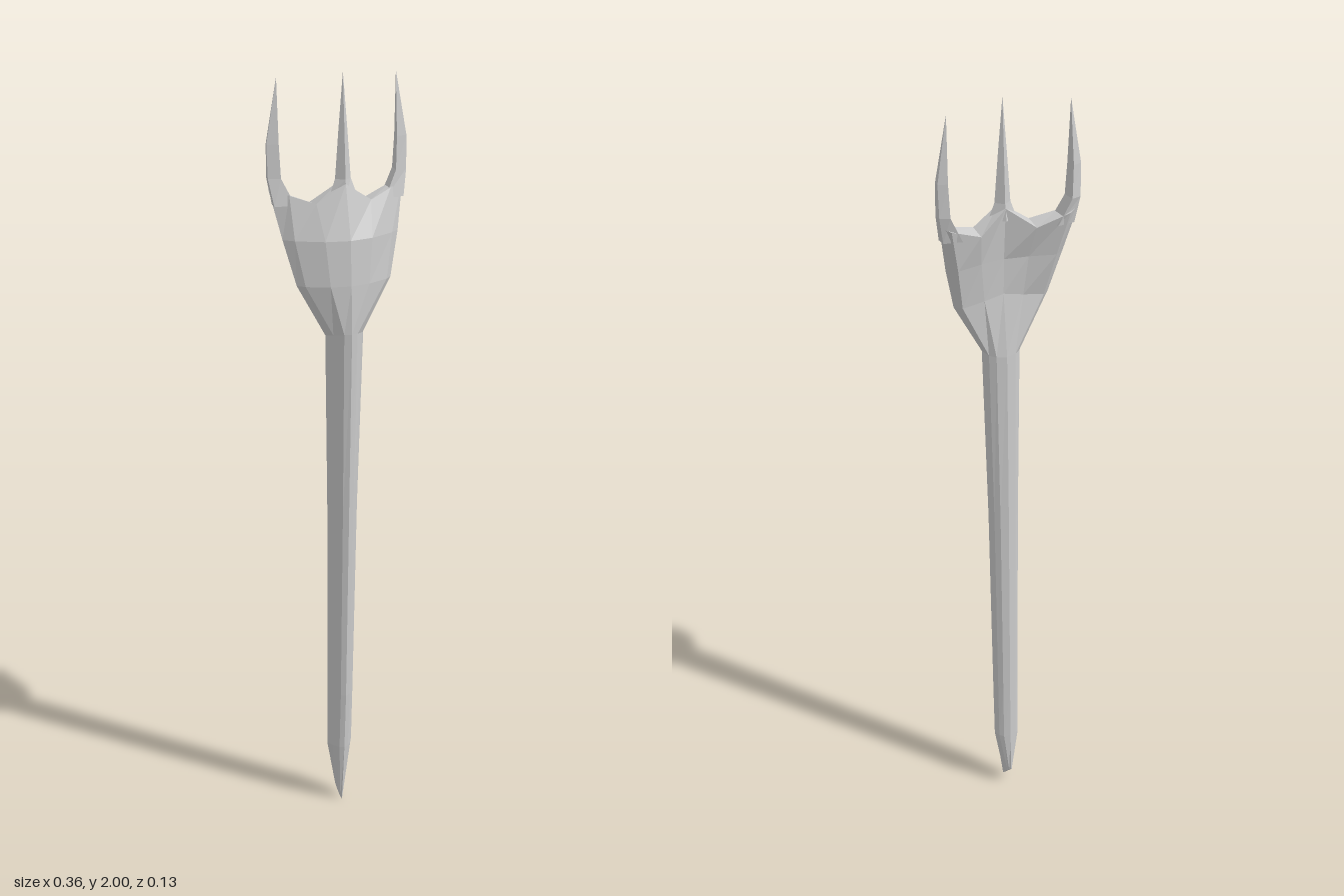
import * as THREE from 'three';

const material = new THREE.MeshStandardMaterial({ color: 0xcccccc, flatShading: true });

// Joins rings of [x, y, z] points, listed bottom to top and counter-clockwise from above.
// A ring of one point closes the form to a tip.
function loft(name, rings, capBottom, capTop) {
  const pos = [];
  const tri = (a, b, c) => pos.push(...a, ...b, ...c);
  for (let r = 0; r < rings.length - 1; r++) {
    const lo = rings[r], hi = rings[r + 1], n = lo.length;
    for (let i = 0; i < n; i++) {
      const j = (i + 1) % n;
      if (hi.length === 1) { tri(lo[i], lo[j], hi[0]); continue; }
      tri(lo[i], lo[j], hi[j]);
      tri(lo[i], hi[j], hi[i]);
    }
  }
  // Caps run as a strip from the front rim to the back rim
  const cap = (ring, flip) => {
    const n = ring.length, h = n / 2;
    const put = (a, b, c) => (flip ? tri(a, c, b) : tri(a, b, c));
    for (const s of [1, -1]) {
      for (let k = 0; k < h / 2; k++) {
        const at = (i) => ring[(s * i + n) % n];
        const q = [at(k), at(k + 1), at(h - k - 1), at(h - k)];
        if (s < 0) q.reverse();
        put(q[0], q[1], q[2]);
        put(q[0], q[2], q[3]);
      }
    }
  };
  if (capBottom) cap(rings[0], true);
  if (capTop) cap(rings[rings.length - 1], false);
  const geo = new THREE.BufferGeometry();
  geo.setAttribute('position', new THREE.Float32BufferAttribute(pos, 3));
  geo.computeVertexNormals();
  const mesh = new THREE.Mesh(geo, material);
  mesh.name = name;
  return mesh;
}

// Completes a half profile (front centre, round the left side, to back centre)
const mirrorRing = (half) =>
  [...half, ...half.slice(1, -1).reverse().map(([x, y, z]) => [-x, y, z])];

// Faceted handle cross-section: half width w, front and back depth
const FX = [0, 0.35, 0.75, 1, 0.8, 0.5, 0];
const FZ = [0, 0.08, 0.32, 0.57, 0.8, 0.93, 1];
const handleRing = (y, w, front, back, yBack = y) =>
  mirrorRing(FX.map((f, i) =>
    [f * w, y + (yBack - y) * FZ[i], front + (back - front) * FZ[i]]));

export function createModel() {
  const group = new THREE.Group();
  const neck = handleRing(1.38, 0.05, 0.063, -0.03, 1.36);

  // Long tapering handle with a slanted pointed end
  group.add(loft('handle', [
    handleRing(0, 0.008, -0.008, -0.063, 0.06),
    handleRing(0.18, 0.035, 0.012, -0.059),
    handleRing(0.35, 0.036, 0.024, -0.055),
    handleRing(0.9, 0.041, 0.045, -0.043),
    neck,
  ], true, false));

  // Head: a shallow bowl with a scalloped upper rim
  group.add(loft('head', [
    neck,
    mirrorRing([[0, 1.5, 0.059], [0.05, 1.5, 0.05], [0.105, 1.5, 0.025], [0.122, 1.5, 0.008],
      [0.105, 1.5, -0.008], [0.05, 1.51, -0.01], [0, 1.52, -0.008]]),
    mirrorRing([[0, 1.61, 0.053], [0.06, 1.61, 0.042], [0.125, 1.61, 0.008], [0.149, 1.61, -0.014],
      [0.125, 1.61, -0.034], [0.06, 1.61, -0.018], [0, 1.61, -0.01]]),
    mirrorRing([[0, 1.74, 0.02], [0.07, 1.695, 0.008], [0.13, 1.715, -0.015], [0.173, 1.73, -0.045],
      [0.148, 1.72, -0.057], [0.07, 1.69, -0.042], [0, 1.74, -0.02]]),
  ], false, true));

  // Straight centre tine
  group.add(loft('centreTine', [
    mirrorRing([[0, 1.71, 0.024], [0.035, 1.71, 0.002], [0, 1.71, -0.025]]),
    mirrorRing([[0, 1.75, 0.018], [0.02, 1.75, 0], [0, 1.75, -0.017]]),
    mirrorRing([[0, 1.87, 0.01], [0.011, 1.87, 0], [0, 1.87, -0.009]]),
    [[0, 2, 0]],
  ], true, false));

  // Outer tines, straight on the inside and bowed on the outside
  for (const side of [1, -1]) {
    const ring = (y, inner, outer, front, back) => {
      const pts = [[inner, y, front], [outer, y, front - 0.008],
        [outer - 0.002, y, back + 0.008], [inner + 0.004, y, back]];
      return side > 0 ? pts : pts.map(([x, py, z]) => [-x, py, z]).reverse();
    };
    group.add(loft(side > 0 ? 'leftTine' : 'rightTine', [
      ring(1.69, 0.115, 0.166, -0.012, -0.052),
      ring(1.755, 0.147, 0.177, -0.024, -0.059),
      ring(1.835, 0.15, 0.178, -0.028, -0.055),
      [[side * 0.15, 1.99, -0.04]],
    ], true, false));
  }
  return group;
}
